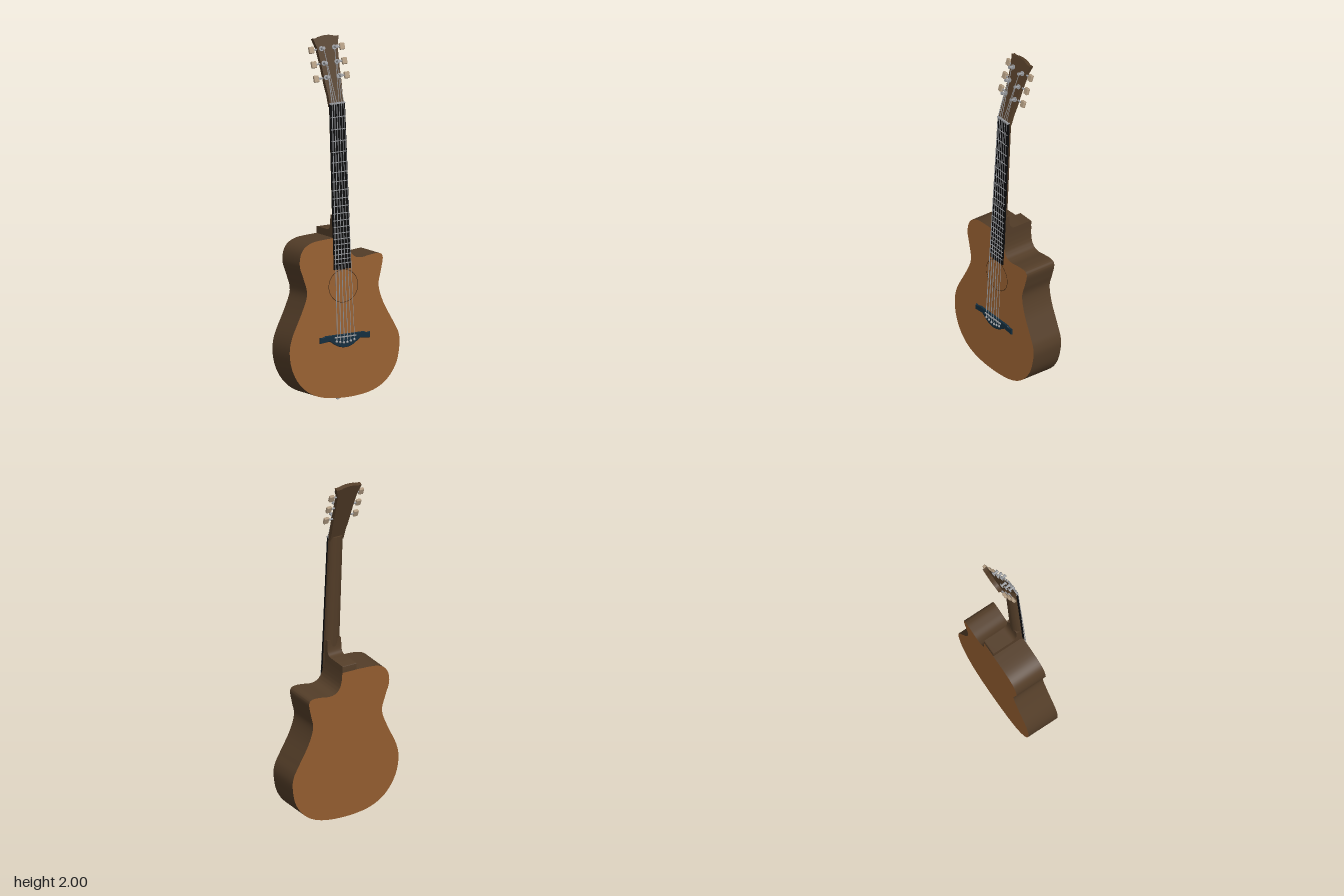
import * as THREE from 'three';
import { toCreasedNormals } from 'three/addons/utils/BufferGeometryUtils.js';
import { RoundedBoxGeometry } from 'three/addons/geometries/RoundedBoxGeometry.js';

const mat = (name, color) => {
  const m = new THREE.MeshStandardMaterial({ color });
  m.name = name;
  return m;
};
const V = (x, y, z) => new THREE.Vector3(x, y, z);
const FRONT = 0.118, BACK = -0.072; // soundboard and back planes
const NUT_Y = 1.64, SADDLE_Y = 0.36;

export function createModel() {
  const wood = mat('warm top wood', 0x965f31);
  const dark = mat('dark brown wood', 0x533d28);
  const ebony = mat('black fingerboard', 0x0b0b0c);
  const blue = mat('blue black bridge', 0x122c3c);
  const steel = mat('steel', 0x9a9ca0);
  const tan = mat('tan tuner button', 0xb09a80);
  const line = mat('dark rosette line', 0x3a2513);

  const model = new THREE.Group();
  const guitar = new THREE.Group();
  guitar.name = 'guitar';
  guitar.rotation.set(-0.054, 0.044, 0.008); // leans back a little
  model.add(guitar);

  const add = (parent, name, geo, material, x = 0, y = 0, z = 0) => {
    const m = new THREE.Mesh(geo, material);
    m.name = name;
    m.position.set(x, y, z);
    parent.add(m);
    return m;
  };
  const rod = (parent, name, a, b, r, material, sides = 6) => {
    const m = add(parent, name, new THREE.CylinderGeometry(r, r, a.distanceTo(b), sides), material);
    m.position.copy(a).add(b).multiplyScalar(0.5);
    m.quaternion.setFromUnitVectors(V(0, 1, 0), b.clone().sub(a).normalize());
    return m;
  };

  // Body with a cutaway on its left shoulder
  const outline = new THREE.Shape();
  outline.moveTo(-0.06, 0.905);
  outline.lineTo(0.045, 0.905);
  outline.lineTo(0.047, 0.86);
  const curve = [
    [0.056, 0.82], [0.08, 0.79], [0.12, 0.78], [0.17, 0.787], [0.22, 0.791], [0.247, 0.782],
    [0.253, 0.755], [0.238, 0.69], [0.222, 0.615], [0.247, 0.52], [0.303, 0.41], [0.334, 0.345],
    [0.34, 0.28], [0.315, 0.175], [0.25, 0.09], [0.15, 0.04], [0, 0.024],
    [-0.15, 0.04], [-0.25, 0.09], [-0.315, 0.175], [-0.341, 0.28], [-0.326, 0.38],
    [-0.257, 0.52], [-0.222, 0.615], [-0.24, 0.7], [-0.262, 0.78], [-0.243, 0.855],
    [-0.18, 0.895], [-0.06, 0.905],
  ].map(([x, y]) => new THREE.Vector2(x, y));
  outline.splineThru(curve);
  const bodyGeo = new THREE.ExtrudeGeometry(outline, {
    depth: FRONT - BACK, bevelEnabled: false, curveSegments: 5,
  });
  add(guitar, 'body', toCreasedNormals(bodyGeo, 0.6), [wood, dark], 0, 0, BACK);

  // Sound hole outline
  add(guitar, 'soundHoleRing', new THREE.RingGeometry(0.0885, 0.0915, 64), line, 0.003, 0.637, FRONT + 0.0015);

  // Neck: half-round section, tapering to the nut
  const taper = (y) => 1 - 0.12 * (y - 0.73) / (NUT_Y - 0.73);
  const section = new THREE.Shape();
  section.absellipse(0, 0, 0.05, 0.034, 0, Math.PI, false);
  const neckGeo = new THREE.ExtrudeGeometry(section, { depth: 0.79, bevelEnabled: false, curveSegments: 16 });
  neckGeo.rotateX(-Math.PI / 2).translate(0, 0.86, 0);
  const taperX = (geo) => {
    const p = geo.attributes.position;
    for (let i = 0; i < p.count; i++) p.setX(i, p.getX(i) * taper(p.getY(i)));
    return geo;
  };
  add(guitar, 'neck', toCreasedNormals(taperX(neckGeo), 0.6), dark, 0, 0, FRONT - 0.002);

  // Heel, side profile swept across the neck
  const heel = new THREE.Shape();
  heel.moveTo(0.115, 0.87);
  heel.lineTo(0.115, 1.03);
  heel.lineTo(0.086, 1.03);
  heel.bezierCurveTo(0.082, 0.965, 0.078, 0.945, 0.045, 0.944);
  heel.lineTo(BACK + 0.008, 0.943);
  heel.quadraticCurveTo(BACK + 0.001, 0.943, BACK + 0.001, 0.935);
  heel.lineTo(BACK + 0.001, 0.87);
  const heelGeo = new THREE.ExtrudeGeometry(heel, { depth: 0.09, bevelEnabled: false, curveSegments: 10 });
  heelGeo.rotateY(-Math.PI / 2).translate(0.045, 0, 0);
  add(guitar, 'heel', toCreasedNormals(heelGeo, 0.6), dark);

  // Fingerboard, frets and nut
  const boardGeo = taperX(new THREE.BoxGeometry(0.106, NUT_Y - 0.73, 0.01).translate(0, (NUT_Y + 0.73) / 2, 0));
  boardGeo.computeVertexNormals();
  add(guitar, 'fingerboard', boardGeo, ebony, 0, 0, FRONT + 0.002);
  for (let n = 1; n <= 20; n++) {
    const y = NUT_Y - (NUT_Y - SADDLE_Y) * (1 - 2 ** (-n / 12));
    add(guitar, 'fret', new THREE.BoxGeometry(0.104 * taper(y), 0.004, 0.003), steel, 0, y, FRONT + 0.008);
  }
  add(guitar, 'nut', new THREE.BoxGeometry(0.092, 0.008, 0.016), steel, 0, NUT_Y + 0.003, FRONT + 0.003);

  // Bridge with swept wings, saddle and pins
  const bridge = new THREE.Shape();
  bridge.moveTo(-0.155, 0.37);
  bridge.quadraticCurveTo(-0.135, 0.362, -0.12, 0.374);
  bridge.lineTo(0.12, 0.374);
  bridge.quadraticCurveTo(0.135, 0.362, 0.155, 0.37);
  bridge.lineTo(0.155, 0.336);
  bridge.lineTo(0.095, 0.342);
  bridge.bezierCurveTo(0.06, 0.32, 0.045, 0.302, 0, 0.3);
  bridge.bezierCurveTo(-0.045, 0.302, -0.06, 0.32, -0.095, 0.342);
  bridge.lineTo(-0.155, 0.336);
  const bridgeGeo = new THREE.ExtrudeGeometry(bridge, {
    depth: 0.007, bevelThickness: 0.003, bevelSize: 0.002, bevelOffset: -0.002, bevelSegments: 1,
  });
  add(guitar, 'bridge', bridgeGeo, blue, 0, 0, FRONT);
  add(guitar, 'saddle', new THREE.BoxGeometry(0.135, 0.006, 0.008), steel, 0, SADDLE_Y, FRONT + 0.012);

  // Headstock, tilted back from the nut
  const head = new THREE.Group();
  head.name = 'headstock';
  head.position.set(0, NUT_Y, FRONT + 0.002);
  head.rotation.x = -0.28;
  guitar.add(head);
  const half = [[0.044, -0.01], [0.044, 0.05], [0.05, 0.11], [0.054, 0.2], [0.063, 0.31], [0.08, 0.367]];
  const plate = new THREE.Shape();
  plate.moveTo(-half[0][0], half[0][1]);
  half.forEach(([x, y]) => plate.lineTo(x, y));
  plate.quadraticCurveTo(0.055, 0.364, 0.04, 0.372);
  plate.quadraticCurveTo(0, 0.382, -0.04, 0.372);
  plate.quadraticCurveTo(-0.055, 0.364, -0.08, 0.367);
  half.slice(1, -1).reverse().forEach(([x, y]) => plate.lineTo(-x, y));
  const plateGeo = new THREE.ExtrudeGeometry(plate, { depth: 0.024, bevelEnabled: false, curveSegments: 8 });
  add(head, 'headPlate', toCreasedNormals(plateGeo, 0.4), dark, 0, 0, -0.024);

  // Tuners, three on each side
  const postY = [0.148, 0.226, 0.306];
  for (const side of [-1, 1]) {
    for (const y of postY) {
      const x = side * 0.04;
      rod(head, 'tunerWasher', V(x, y, 0), V(x, y, 0.005), 0.014, steel, 16);
      rod(head, 'tunerPost', V(x, y, 0), V(x, y, 0.03), 0.0065, steel, 12);
      rod(head, 'tunerPostCap', V(x, y, 0.024), V(x, y, 0.032), 0.009, steel, 12);
      rod(head, 'tunerStem', V(side * 0.045, y, -0.012), V(side * 0.085, y, -0.012), 0.005, steel, 10);
      add(head, 'tunerButton', new RoundedBoxGeometry(0.03, 0.038, 0.018, 2, 0.005), tan, side * 0.095, y, -0.012);
    }
  }

  // Strings run from the pins over saddle and nut to the posts
  head.updateMatrix();
  for (let i = 0; i < 6; i++) {
    const t = i / 2.5 - 1, side = Math.sign(t);
    const pinY = 0.326 + 0.012 * Math.abs(t);
    const r = 0.0024 - i * 0.0002;
    const post = V(side * 0.034, postY[i < 3 ? i : 5 - i], 0.018).applyMatrix4(head.matrix);
    const path = [
      V(t * 0.055, pinY, FRONT + 0.01), V(t * 0.053, SADDLE_Y, FRONT + 0.017),
      V(t * 0.036, NUT_Y + 0.003, FRONT + 0.012), post,
    ];
    for (let k = 0; k < 3; k++) rod(guitar, 'string', path[k], path[k + 1], r, steel);
    add(guitar, 'bridgePin', new THREE.SphereGeometry(0.007, 12, 8), steel, t * 0.055, pinY, FRONT + 0.012);
  }

  // Strap pin under the body
  rod(guitar, 'strapPinStem', V(0, 0.004, 0.024), V(0, 0.03, 0.024), 0.005, steel, 12);
  rod(guitar, 'strapPinCap', V(0, 0, 0.024), V(0, 0.006, 0.024), 0.01, steel, 14);

  return model;
}
